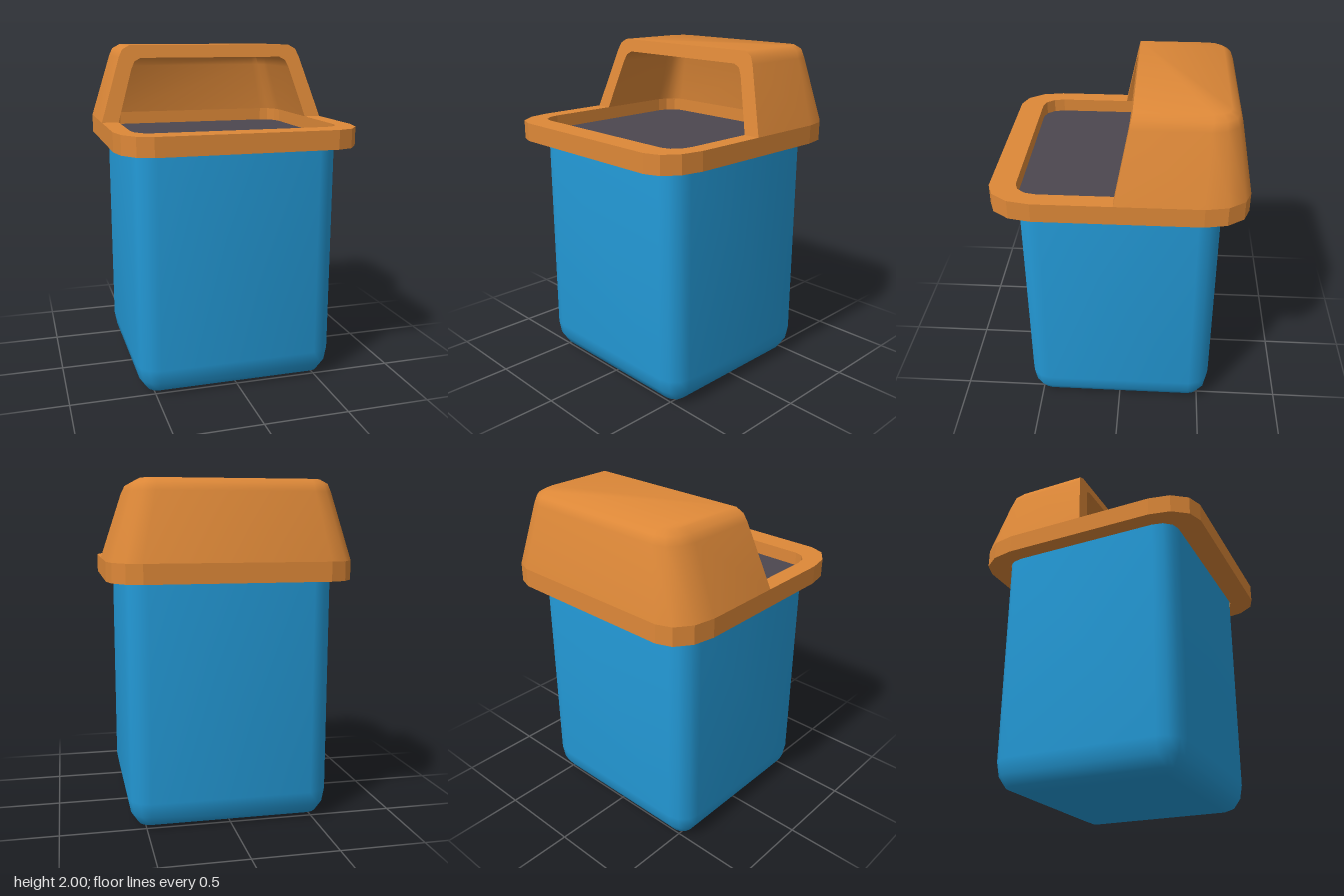
import * as THREE from 'three';
import { toCreasedNormals } from 'three/addons/utils/BufferGeometryUtils.js';

const STEPS = 3; // facets per rounded corner

// One rounded corner in plan, quarter 0..3 running from +x towards +z
function corner(q, hx, hz, rx, rz) {
  const sx = q === 0 || q === 3 ? 1 : -1, sz = q < 2 ? 1 : -1;
  return Array.from({ length: STEPS + 1 }, (_, k) => {
    const a = (q + k / STEPS) * Math.PI / 2;
    return [sx * (hx - rx) + rx * Math.cos(a), sz * (hz - rz) + rz * Math.sin(a)];
  });
}
const outline = (...size) => [0, 1, 2, 3].flatMap(q => corner(q, ...size));

function outlineShape(type, ...size) {
  return new type(outline(...size).map(([x, z]) => new THREE.Vector2(x, z)));
}

// Collects faces and gives smooth normals with sharp creases
class Faces {
  pos = [];
  tri(a, b, c) { this.pos.push(...a, ...b, ...c); }
  quad(a, b, c, d) { this.tri(a, b, c); this.tri(a, c, d); }
  loft(rings, closed, inward) {
    for (let i = 0; i + 1 < rings.length; i++) {
      const lo = rings[i], hi = rings[i + 1], n = lo.length;
      for (let j = 0; j < (closed ? n : n - 1); j++) {
        const k = (j + 1) % n;
        if (inward) this.quad(lo[j], lo[k], hi[k], hi[j]);
        else this.quad(lo[j], hi[j], hi[k], lo[k]);
      }
    }
  }
  cap(ring, up) {
    for (let j = 1; j + 1 < ring.length; j++) {
      if (up) this.tri(ring[0], ring[j + 1], ring[j]);
      else this.tri(ring[0], ring[j], ring[j + 1]);
    }
  }
  build(crease) {
    const g = new THREE.BufferGeometry();
    g.setAttribute('position', new THREE.Float32BufferAttribute(this.pos, 3));
    return toCreasedNormals(g, crease);
  }
}

// Bin body: rounded upright edges and rounded underside
function bodyGeometry() {
  const rings = [];
  for (let k = 0; k <= STEPS; k++) {
    const a = (k / STEPS) * Math.PI / 2;
    const d = 0.115 * (1 - Math.sin(a));
    const r = 0.125 - d;
    rings.push(outline(0.6 - d, 0.565 - d, r, r).map(([x, z]) => [x, 0.17 * (1 - Math.cos(a)), z]));
  }
  rings.push(rings[STEPS].map(([x, , z]) => [x, 1.46, z]));
  const f = new Faces();
  f.loft(rings, true, false);
  f.cap(rings[0], false);
  return f.build(0.8);
}

// Hood: hollow tapered shell cut off by a leaning front plane
function hoodGeometry() {
  const frontZ = y => 0.02 - 0.2 * (y - 1.55);
  const ring = ([y, hx, hz, rx, rz]) => {
    const pts = [...corner(2, hx, hz, rx, rz), ...corner(3, hx, hz, rx, rz)];
    return [[-hx, frontZ(y)], ...pts, [hx, frontZ(y)]].map(([x, z]) => [x, y, z]);
  };
  const outer = [
    [1.55, 0.7, 0.71, 0.18, 0.25],
    [1.93, 0.577, 0.64, 0.14, 0.17],
    [1.975, 0.555, 0.622, 0.12, 0.14],
    [2.0, 0.51, 0.58, 0.08, 0.1],
  ].map(ring);
  const inner = [
    [1.55, 0.6, 0.565, 0.1, 0.125],
    [1.86, 0.505, 0.53, 0.08, 0.1],
    [1.905, 0.483, 0.518, 0.07, 0.08],
    [1.925, 0.445, 0.49, 0.05, 0.06],
  ].map(ring);
  const f = new Faces();
  f.loft(outer, false, false);
  f.cap(outer[3], true);
  f.loft(inner, false, true);
  f.cap(inner[3], false);
  // frame around the opening
  const last = outer[0].length - 1;
  for (let i = 0; i < 3; i++) {
    f.quad(outer[i][0], inner[i][0], inner[i + 1][0], outer[i + 1][0]);
    f.quad(inner[i][last], outer[i][last], outer[i + 1][last], inner[i + 1][last]);
  }
  f.quad(inner[3][0], inner[3][last], outer[3][last], outer[3][0]);
  return f.build(0.85);
}

// Rim: flat collar with a rounded hole
function rimGeometry() {
  const shape = outlineShape(THREE.Shape, 0.7, 0.71, 0.18, 0.25);
  shape.holes.push(outlineShape(THREE.Path, 0.6, 0.565, 0.1, 0.125));
  const g = new THREE.ExtrudeGeometry(shape, { depth: 0.11, bevelEnabled: false });
  return g.rotateX(-Math.PI / 2).translate(0, 1.44, 0);
}

export function createModel() {
  const material = (name, color) => {
    const m = new THREE.MeshStandardMaterial({ color });
    m.name = name;
    return m;
  };
  const orange = material('orange', 0xdd8838);
  const blue = material('blue', 0x249cda);
  const dark = material('darkGrey', 0x4c474f);

  const model = new THREE.Group();
  model.name = 'litterBin';
  const add = (name, geometry, mat) => {
    const mesh = new THREE.Mesh(geometry, mat);
    mesh.name = name;
    model.add(mesh);
  };

  add('body', bodyGeometry(), blue);
  add('rim', rimGeometry(), orange);
  add('hood', hoodGeometry(), orange);

  // Dark surface seen through the opening
  const inside = new THREE.ShapeGeometry(outlineShape(THREE.Shape, 0.6, 0.565, 0.1, 0.125));
  add('darkInterior', inside.rotateX(-Math.PI / 2).translate(0, 1.47, 0), dark);
  return model;
}
